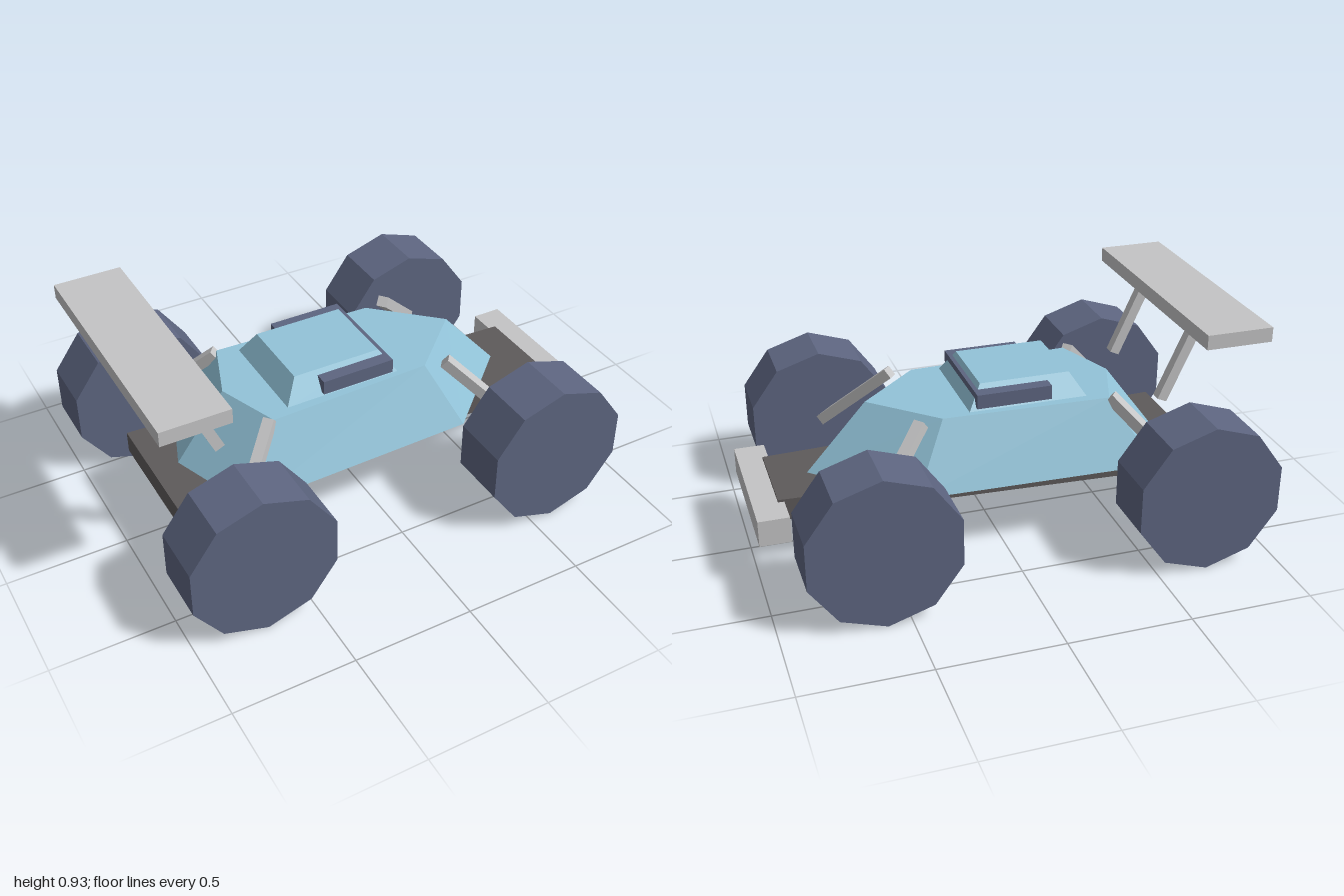
import * as THREE from 'three';

const material = (name, color) => {
  const m = new THREE.MeshStandardMaterial({ color, flatShading: true });
  m.name = name;
  return m;
};

export function createModel() {
  const group = new THREE.Group();
  const blue = material('body blue', 0x92c3d8);
  const slate = material('slate', 0x5d6580);
  const grey = material('light grey', 0xc4c4c5);
  const dark = material('chassis grey', 0x5e5a5a);

  const add = (name, geometry, mat) => {
    const mesh = new THREE.Mesh(geometry, mat);
    mesh.name = name;
    group.add(mesh);
    return mesh;
  };

  // Box given by its limits
  const box = (name, [x0, x1], [y0, y1], [z0, z1], mat) =>
    add(name, new THREE.BoxGeometry(x1 - x0, y1 - y0, z1 - z0), mat)
      .position.set((x0 + x1) / 2, (y0 + y1) / 2, (z0 + z1) / 2);

  // Square bar between two points
  const bar = (name, a, b, size, mat) => {
    const from = new THREE.Vector3(...a), to = new THREE.Vector3(...b);
    const mesh = add(name, new THREE.BoxGeometry(size, size, from.distanceTo(to)), mat);
    mesh.position.copy(from).lerp(to, 0.5);
    mesh.lookAt(to);
  };

  // Full outline from its -z half, listed front to rear as [x, halfWidth]
  const outline = (half) => [
    ...half.map(([x, w]) => [x, -w]),
    ...half.filter(([, w]) => w > 0).reverse(),
  ];

  // Faceted solid between a lower and an upper outline
  const loft = (lower, y0, upper, y1) => {
    const b = outline(lower).map(([x, z]) => [x, y0, z]);
    const t = outline(upper).map(([x, z]) => [x, y1, z]);
    const p = [];
    const n = b.length;
    for (let i = 0; i < n; i++) {
      const j = (i + 1) % n;
      p.push(b[i], b[j], t[j], b[i], t[j], t[i]);
      if (i > 0 && j > 0) p.push(t[0], t[i], t[j], b[0], b[j], b[i]);
    }
    const g = new THREE.BufferGeometry();
    g.setAttribute('position', new THREE.Float32BufferAttribute(p.flat(), 3));
    g.computeVertexNormals();
    return g;
  };

  // Tapered floor, faceted shell and cabin
  const floor = [[0.9, 0.185], [-0.86, 0.275]];
  add('chassis', loft(floor, 0.22, floor, 0.312), dark);
  add('body', loft(
    [[0.75, 0], [0.38, 0.345], [-0.615, 0.37], [-0.75, 0]], 0.312,
    [[0.5, 0], [0.245, 0.24], [-0.445, 0.262], [-0.54, 0]], 0.592), blue);
  add('cabin', loft(
    [[0.13, 0.22], [-0.365, 0.22]], 0.59,
    [[0.07, 0.165], [-0.305, 0.165]], 0.685), blue);
  box('visor', [-0.21, 0.1], [0.606, 0.665], [-0.23, 0.23], slate);

  // Bumper and rear wing
  box('bumper', [0.875, 1], [0.193, 0.302], [-0.31, 0.31], grey);
  box('wing', [-1, -0.725], [0.872, 0.932], [-0.527, 0.527], grey);

  // Wheels, suspension arms and wing struts on both sides
  for (const s of [1, -1]) {
    bar('wingStrut', [-0.675, 0.55, s * 0.248], [-0.832, 0.9, s * 0.248], 0.043, grey);
    for (const [x, innerX, end] of [[0.595, 0.335, 'front'], [-0.705, -0.455, 'rear']]) {
      const wheel = new THREE.CylinderGeometry(0.31, 0.31, 0.245, 10).rotateX(Math.PI / 2);
      add(end + 'Wheel', wheel, slate).position.set(x, 0.312, s * 0.577);
      bar(end + 'Arm', [innerX, 0.59, s * 0.25], [x, 0.312, s * 0.46], 0.045, grey);
    }
  }
  return group;
}
